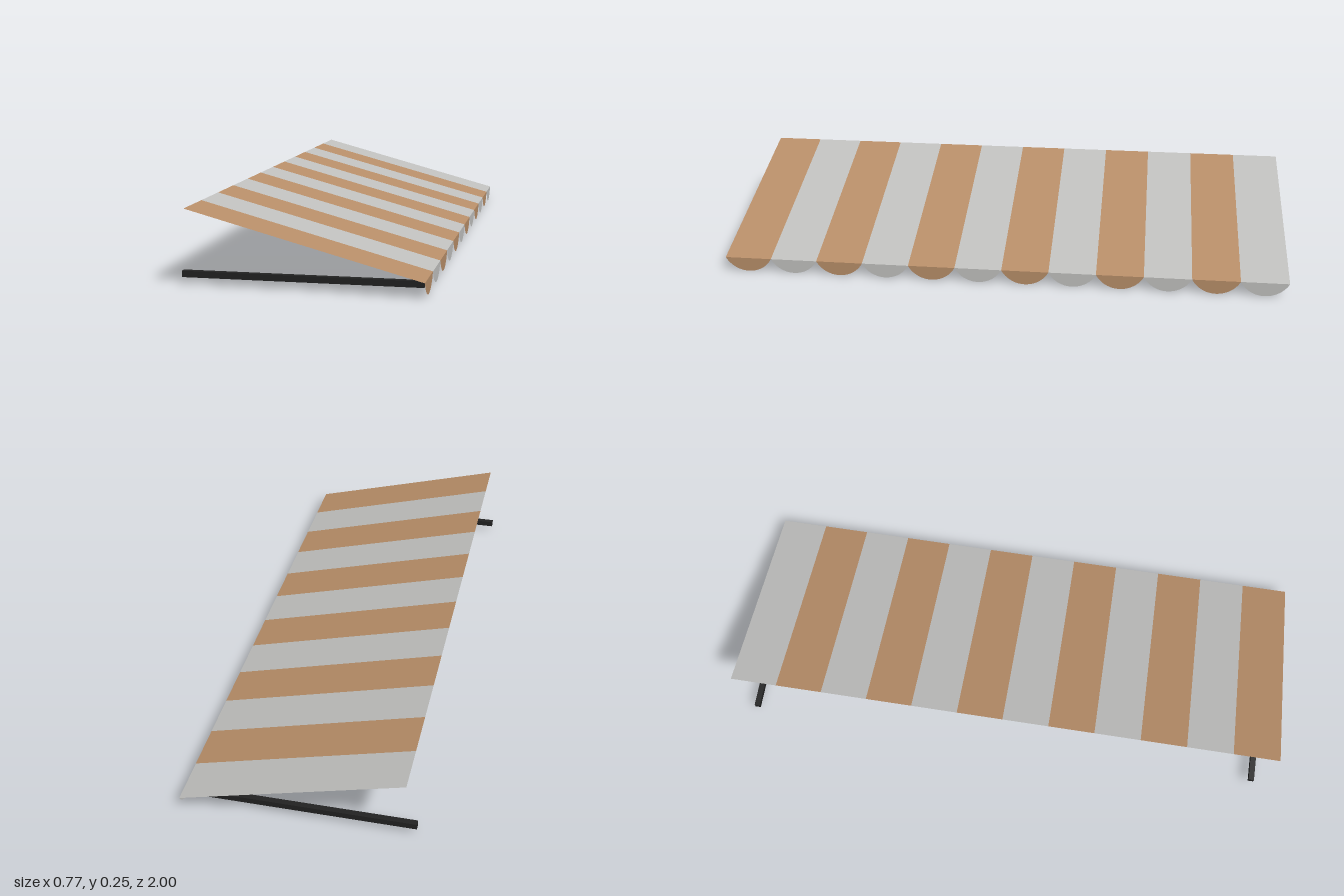
import * as THREE from 'three';

const STRIPES = 12;
const WIDTH = 2 / STRIPES;
const BACK_X = -0.355, FRONT_X = 0.384;
const TOP_Y = 0.248, EAVE_Y = 0.05;

export function createModel() {
  const tan = new THREE.MeshStandardMaterial({ color: 0xb98f69, side: THREE.DoubleSide });
  tan.name = 'tanCloth';
  const grey = new THREE.MeshStandardMaterial({ color: 0xc1c1bf, side: THREE.DoubleSide });
  grey.name = 'greyCloth';
  const black = new THREE.MeshStandardMaterial({ color: 0x222222 });
  black.name = 'blackMetal';

  const model = new THREE.Group();
  model.name = 'awning';
  const add = (name, geometry, material, x, y, z) => {
    const mesh = new THREE.Mesh(geometry, material);
    mesh.name = name;
    mesh.position.set(x, y, z);
    model.add(mesh);
    return mesh;
  };

  // Sloping cloth strip, one stripe wide, falling towards +x
  const run = FRONT_X - BACK_X, drop = TOP_Y - EAVE_Y;
  const strip = new THREE.PlaneGeometry(Math.hypot(run, drop), WIDTH);
  strip.rotateX(-Math.PI / 2);
  strip.rotateZ(-Math.atan2(drop, run));

  // Hanging scallop: a circular segment below the eave, facing +x
  const half = WIDTH / 2;
  const radius = (half * half + EAVE_Y * EAVE_Y) / (2 * EAVE_Y);
  const sweep = Math.asin(half / radius);
  const outline = new THREE.Shape();
  outline.absarc(0, radius - EAVE_Y, radius, -Math.PI / 2 - sweep, -Math.PI / 2 + sweep, false);
  const scallop = new THREE.ShapeGeometry(outline, 16);
  scallop.rotateY(Math.PI / 2);

  for (let i = 0; i < STRIPES; i++) {
    const z = -1 + (i + 0.5) * WIDTH;
    const cloth = i % 2 ? tan : grey;
    add('canopyStripe', strip, cloth, (BACK_X + FRONT_X) / 2, (TOP_Y + EAVE_Y) / 2, z);
    add('valanceScallop', scallop, cloth, FRONT_X, EAVE_Y, z);
  }

  // Horizontal support arms near both ends
  const arm = new THREE.BoxGeometry(0.758, 0.02, 0.02);
  for (const z of [-0.938, 0.936]) add('supportArm', arm, black, -0.005, 0.033, z);

  return model;
}
